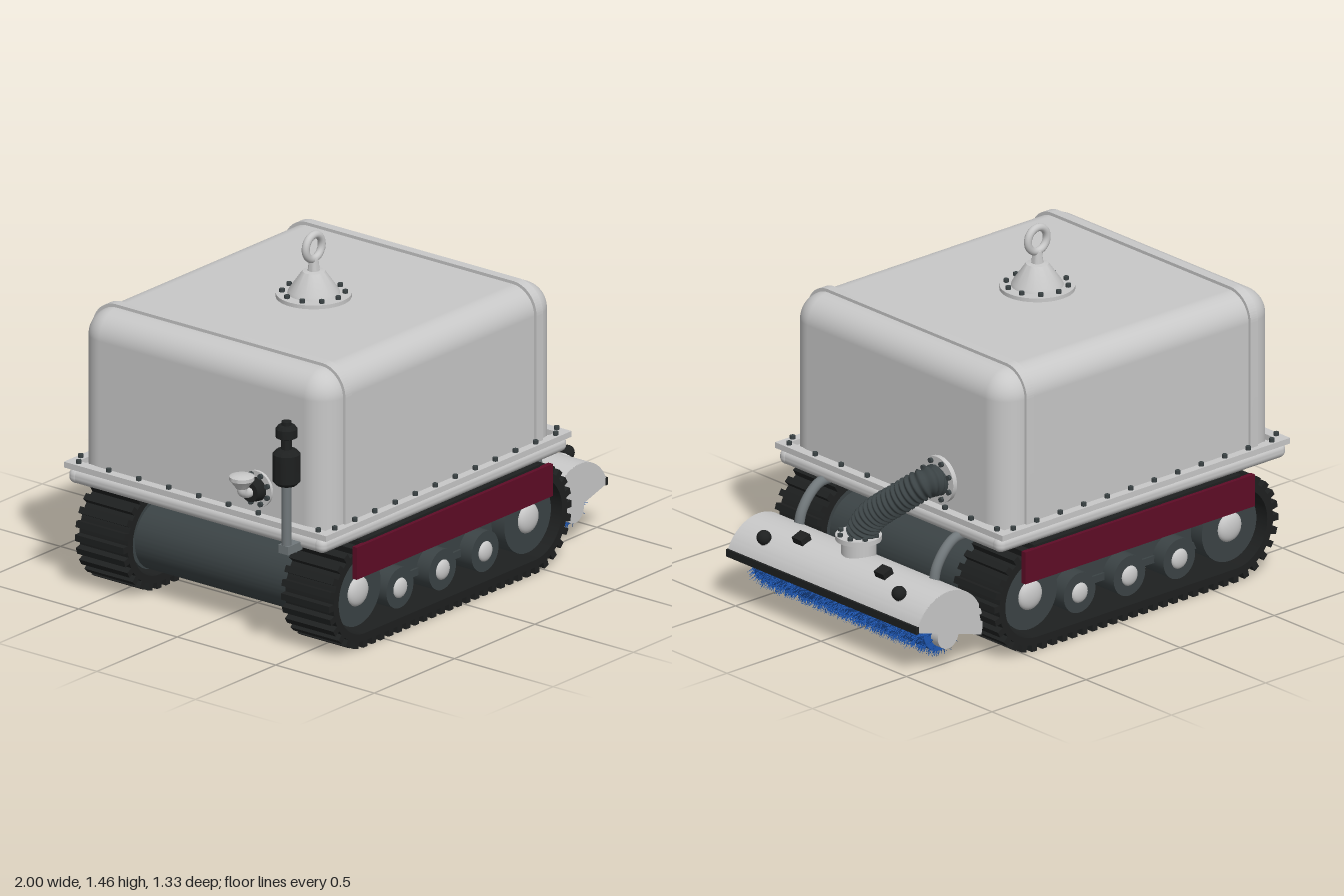
import * as THREE from 'three';
import { mergeGeometries, toCreasedNormals } from 'three/addons/utils/BufferGeometryUtils.js';
import { RoundedBoxGeometry } from 'three/addons/geometries/RoundedBoxGeometry.js';

const mat = (name, color, side = THREE.FrontSide) => {
  const m = new THREE.MeshStandardMaterial({ color, side });
  m.name = name;
  return m;
};

export function createModel() {
  const light = mat('light grey paint', 0xc8c8c8);
  const mid = mat('mid grey pipe', 0x71787b);
  const dark = mat('dark grey steel', 0x3b4345);
  const black = mat('black rubber', 0x1e2020);
  const red = mat('dark red paint', 0x5e0c26);
  const blue = mat('blue bristle', 0x1f58b4, THREE.DoubleSide);

  const model = new THREE.Group();
  model.name = 'trackedSweeper';
  const add = (name, geo, material, x = 0, y = 0, z = 0, rx = 0, ry = 0, rz = 0, parent = model) => {
    const m = new THREE.Mesh(geo, material);
    m.name = name;
    m.position.set(x, y, z);
    m.rotation.set(rx, ry, rz);
    parent.add(m);
    return m;
  };
  const box = (w, h, d) => new THREE.BoxGeometry(w, h, d);
  const cyl = (rt, rb, h, n = 32) => new THREE.CylinderGeometry(rt, rb, h, n);
  const lathe = (pts, n = 36) =>
    toCreasedNormals(new THREE.LatheGeometry(pts.map(p => new THREE.Vector2(...p)), n), 0.6);
  const extrude = (shape, depth) =>
    toCreasedNormals(new THREE.ExtrudeGeometry(shape, { depth, bevelEnabled: false, curveSegments: 32 }), 0.5);
  const tube = (pts, r, n = 24) =>
    new THREE.TubeGeometry(new THREE.CatmullRomCurve3(pts.map(p => new THREE.Vector3(...p))), n, r, 14);
  const HALF = Math.PI / 2;

  // Tank: rounded box with its bottom cut flat inside the frame
  const tankGeo = new RoundedBoxGeometry(1.45, 0.805, 1.26, 8, 0.11);
  const tp = tankGeo.attributes.position;
  for (let i = 0; i < tp.count; i++) tp.setY(i, Math.max(tp.getY(i), -0.2825));
  add('tank', tankGeo, light, -0.125, 0.7825, 0);

  // Straps arching over the tank
  const arch = (path, w, top, r) => {
    path.moveTo(-w, 0.54);
    path.lineTo(-w, top - r);
    path.absarc(-w + r, top - r, r, Math.PI, HALF, true);
    path.absarc(w - r, top - r, r, HALF, 0, true);
    path.lineTo(w, 0.54);
    return path;
  };
  const strap = arch(new THREE.Shape(), 0.642, 1.198, 0.12);
  const inner = arch(new THREE.Path(), 0.627, 1.182, 0.108).getPoints(16).reverse();
  inner.forEach(p => strap.lineTo(p.x, p.y));
  const strapGeo = extrude(strap, 0.04);
  for (const x of [-0.74, 0.45]) add('tankStrap', strapGeo, light, x, 0, 0, 0, HALF, 0);

  // Frame: flange with an opening, rounded rails, floor and bolts
  const flange = new THREE.Shape([[-0.89, -0.665], [0.64, -0.665], [0.64, 0.665], [-0.89, 0.665]].map(p => new THREE.Vector2(...p)));
  flange.holes.push(new THREE.Path([[-0.845, -0.625], [-0.845, 0.625], [0.595, 0.625], [0.595, -0.625]].map(p => new THREE.Vector2(...p))));
  add('frameFlange', extrude(flange, 0.024), light, 0, 0.547, 0, HALF, 0, 0);
  for (const s of [-1, 1]) {
    add('sideRail', new RoundedBoxGeometry(1.53, 0.064, 0.06, 5, 0.028), light, -0.125, 0.493, s * 0.622);
    add('endRail', new RoundedBoxGeometry(0.06, 0.064, 1.3, 5, 0.028), light, -0.125 + s * 0.733, 0.493, 0);
  }
  add('floor', box(1.46, 0.035, 1.25), dark, -0.125, 0.485, 0);
  const boltGeo = cyl(0.011, 0.011, 0.016, 8);
  for (const s of [-1, 1]) {
    for (let i = 0; i < 12; i++) add('frameBolt', boltGeo, dark, -0.81 + i * 0.125, 0.554, s * 0.645);
    for (let i = 0; i < 9; i++) add('frameBolt', boltGeo, dark, -0.125 + s * 0.742, 0.554, (i - 4) * 0.152);
  }

  // Lifting eye on a bolted cone
  const eye = new THREE.Group();
  eye.name = 'liftingEye';
  eye.position.set(-0.15, 1.185, 0);
  model.add(eye);
  add('eyeBase', cyl(0.15, 0.15, 0.016, 40), light, 0, 0.008, 0, 0, 0, 0, eye);
  add('eyeCone', lathe([[0.105, 0.014], [0.1, 0.028], [0.05, 0.1], [0.045, 0.107], [0.024, 0.11], [0.018, 0.16], [0, 0.165]]), light, 0, 0, 0, 0, 0, 0, eye);
  add('eyeRing', new THREE.TorusGeometry(0.05, 0.016, 14, 36), light, 0, 0.207, 0, 0, 0, 0, eye);
  for (let i = 0; i < 10; i++) {
    const a = (i + 0.5) * Math.PI / 5;
    add('eyeBolt', boltGeo, dark, Math.cos(a) * 0.125, 0.022, Math.sin(a) * 0.125, 0, 0, 0, eye);
  }

  // Hull between the tracks
  const X0 = -0.62, X1 = 0.44, CY = 0.225;
  const stadium = (path, r) => {
    path.absarc(X1, CY, r, -HALF, HALF, false);
    path.absarc(X0, CY, r, HALF, 3 * HALF, false);
    path.closePath();
    return path;
  };
  add('hull', extrude(stadium(new THREE.Shape(), 0.14), 0.82), dark, 0, 0, -0.41);
  add('hullTop', box(1.06, 0.24, 0.82), dark, -0.09, 0.355, 0);
  add('bellyPlate', box(1.06, 0.008, 0.8), black, -0.09, 0.082, 0);

  // Tracks: belt, tread bars, wheels and red side guard
  const beltShape = stadium(new THREE.Shape(), 0.197);
  beltShape.holes.push(stadium(new THREE.Path(), 0.166));
  const beltGeo = extrude(beltShape, 0.245);
  const L = X1 - X0, R = 0.208, total = 2 * L + 2 * Math.PI * R, N = 64;
  const treads = [];
  for (let i = 0; i < N; i++) {
    let d = (i / N) * total, x, y, a;
    if (d < L) { x = X0 + d; y = CY - R; a = -HALF; }
    else if ((d -= L) < Math.PI * R) { a = -HALF + d / R; x = X1 + R * Math.cos(a); y = CY + R * Math.sin(a); }
    else if ((d -= Math.PI * R) < L) { x = X1 - d; y = CY + R; a = HALF; }
    else { a = HALF + (d - L) / R; x = X0 + R * Math.cos(a); y = CY + R * Math.sin(a); }
    treads.push(box(0.034, 0.027, 0.245).rotateZ(a).translate(x, y, 0));
  }
  const treadGeo = mergeGeometries(treads);
  const wheels = [[X0, CY, 0.145, 0.062], [X1, CY, 0.145, 0.062]];
  for (const x of [-0.355, -0.09, 0.175]) wheels.push([x, 0.162, 0.084, 0.042]);
  for (const s of [-1, 1]) {
    const track = new THREE.Group();
    track.name = s > 0 ? 'leftTrack' : 'rightTrack';
    model.add(track);
    add('belt', beltGeo, black, 0, 0, s * 0.5225 - 0.1225, 0, 0, 0, track);
    add('treads', treadGeo, black, 0, 0, s * 0.5225, 0, 0, 0, track);
    add('trackBeam', box(0.9, 0.17, 0.12), dark, -0.09, 0.235, s * 0.48, 0, 0, 0, track);
    add('beamRib', box(0.9, 0.03, 0.14), dark, -0.09, 0.165, s * 0.48, 0, 0, 0, track);
    for (const [x, y, r, h] of wheels) {
      add('wheel', cyl(r, r, 0.18, 40), dark, x, y, s * 0.515, HALF, 0, 0, track);
      const hub = add('wheelHub', new THREE.SphereGeometry(h, 24, 16), light, x, y, s * 0.603, 0, 0, 0, track);
      hub.scale.z = 0.45;
    }
    add('sideGuard', box(1.22, 0.135, 0.022), red, -0.09, 0.377, s * 0.656, 0, 0, 0, track);
    add('guardMount', box(1.1, 0.04, 0.05), black, -0.09, 0.435, s * 0.625, 0, 0, 0, track);
  }

  // Brush: core, seeded bristles and shaft
  const BX = 0.825, BY = 0.15;
  let seed = 7;
  const rand = () => (seed = (seed * 16807) % 2147483647) / 2147483647;
  const bristles = [new THREE.CylinderGeometry(0.088, 0.088, 1.0, 24).rotateX(HALF)];
  for (let i = 0; i < 4200; i++) {
    const a = rand() * Math.PI * 2, len = 0.05 + rand() * 0.018;
    bristles.push(new THREE.ConeGeometry(0.0045, len, 3, 1, true)
      .rotateX((rand() - 0.5) * 0.5).rotateZ((rand() - 0.5) * 0.5)
      .translate(0, 0.056 + len / 2, 0).rotateZ(a).translate(0, 0, (rand() - 0.5) * 1.01));
  }
  add('brush', mergeGeometries(bristles), blue, BX - 0.005, BY, 0);
  add('brushShaft', cyl(0.055, 0.055, 1.08), light, BX - 0.01, BY - 0.015, 0, HALF, 0, 0);

  // Brush cover: tilted half shell with end plates and rubber lip
  const tilt = 0.28;
  const shell = new THREE.Shape();
  shell.absarc(0, 0, 0.18, 0, Math.PI, false);
  shell.absarc(0, 0, 0.17, Math.PI, 0, true);
  const plate = new THREE.Shape();
  plate.absarc(0, 0, 0.179, 0, Math.PI, false);
  plate.closePath();
  add('brushCover', extrude(shell, 1.11), light, BX, BY, -0.555, 0, 0, tilt);
  for (const z of [-0.556, 0.546]) add('coverEnd', extrude(plate, 0.01), light, BX, BY, z, 0, 0, tilt);
  add('coverLip', box(0.014, 0.03, 1.114), black, 0.993, 0.208, 0);

  // Cover fittings and support arms
  for (const s of [-1, 1]) {
    add('coverClip', box(0.05, 0.045, 0.055), black, 0.882, 0.325, s * 0.24, 0, 0, -0.35);
    add('coverStud', cyl(0.024, 0.034, 0.03, 20), light, 0.932, 0.291, s * 0.395, 0, 0, -0.65);
    add('studCap', new THREE.SphereGeometry(0.03, 18, 12), black, 0.944, 0.306, s * 0.395);
    add('supportArm', tube([[0.59, 0.465, s * 0.395], [0.65, 0.46, s * 0.395], [0.7, 0.425, s * 0.395], [0.745, 0.36, s * 0.395], [0.76, 0.3, s * 0.395]], 0.021), mid);
  }

  // Ribbed suction hose with bolted flanges
  const hoseCurve = new THREE.CatmullRomCurve3([[0.61, 0.66, -0.262], [0.67, 0.66, -0.255], [0.735, 0.59, -0.175],
    [0.785, 0.49, -0.06], [0.8, 0.4, -0.005]].map(p => new THREE.Vector3(...p)));
  const rings = 140;
  const hoseGeo = new THREE.TubeGeometry(hoseCurve, rings, 0.06, 20);
  const hp = hoseGeo.attributes.position, v = new THREE.Vector3();
  for (let i = 0; i <= rings; i++) {
    const c = hoseCurve.getPointAt(i / rings);
    const k = 1 + 0.09 * Math.sin(i / rings * Math.PI * 2 * 20);
    for (let j = 0; j <= 20; j++) {
      const n = i * 21 + j;
      v.fromBufferAttribute(hp, n).sub(c).multiplyScalar(k).add(c);
      hp.setXYZ(n, v.x, v.y, v.z);
    }
  }
  hoseGeo.computeVertexNormals();
  add('hose', hoseGeo, dark);
  const boltedFlange = (name, r, x, y, z, rz) => {
    const g = new THREE.Group();
    g.name = name;
    g.position.set(x, y, z);
    g.rotation.z = rz;
    model.add(g);
    add('flangeDisc', cyl(r, r, 0.02, 36), light, 0, 0, 0, 0, 0, 0, g);
    for (let i = 0; i < 8; i++) {
      const a = (i + 0.5) * Math.PI / 4;
      add('flangeBolt', boltGeo, dark, Math.cos(a) * r * 0.84, 0.014, Math.sin(a) * r * 0.84, 0, 0, 0, g);
    }
  };
  boltedFlange('hoseTankFlange', 0.096, 0.61, 0.66, -0.26, -HALF);
  boltedFlange('hoseCoverFlange', 0.092, 0.805, 0.393, -0.005, 0);
  add('hoseNeck', cyl(0.07, 0.07, 0.07), light, 0.805, 0.352, -0.005);

  // Exhaust stack at the rear
  add('exhaustPipe', cyl(0.02, 0.02, 0.3, 18), mid, -0.945, 0.61, 0.51);
  add('exhaustBracket', box(0.09, 0.035, 0.05), mid, -0.92, 0.475, 0.51);
  add('muffler', lathe([[0, 0.74], [0.04, 0.745], [0.055, 0.76], [0.055, 0.875], [0.04, 0.89], [0.022, 0.895], [0.022, 0.935],
    [0.043, 0.945], [0.043, 0.98], [0.034, 0.992], [0.02, 0.995], [0.02, 1.01], [0, 1.012]]), black, -0.945, 0, 0.51);

  // Filler valve at the rear
  boltedFlange('valveFlange', 0.075, -0.852, 0.65, 0.29, HALF);
  add('valveBody', cyl(0.042, 0.05, 0.05, 24), black, -0.882, 0.65, 0.29, 0, 0, HALF);
  add('valveElbow', tube([[-0.89, 0.65, 0.29], [-0.925, 0.65, 0.29], [-0.95, 0.665, 0.29], [-0.953, 0.69, 0.29]], 0.02), light);
  add('fillerCup', lathe([[0, 0.675], [0.024, 0.68], [0.03, 0.69], [0.05, 0.715], [0.05, 0.73], [0.03, 0.737], [0, 0.738]]), light, -0.953, 0, 0.29);
  return model;
}
